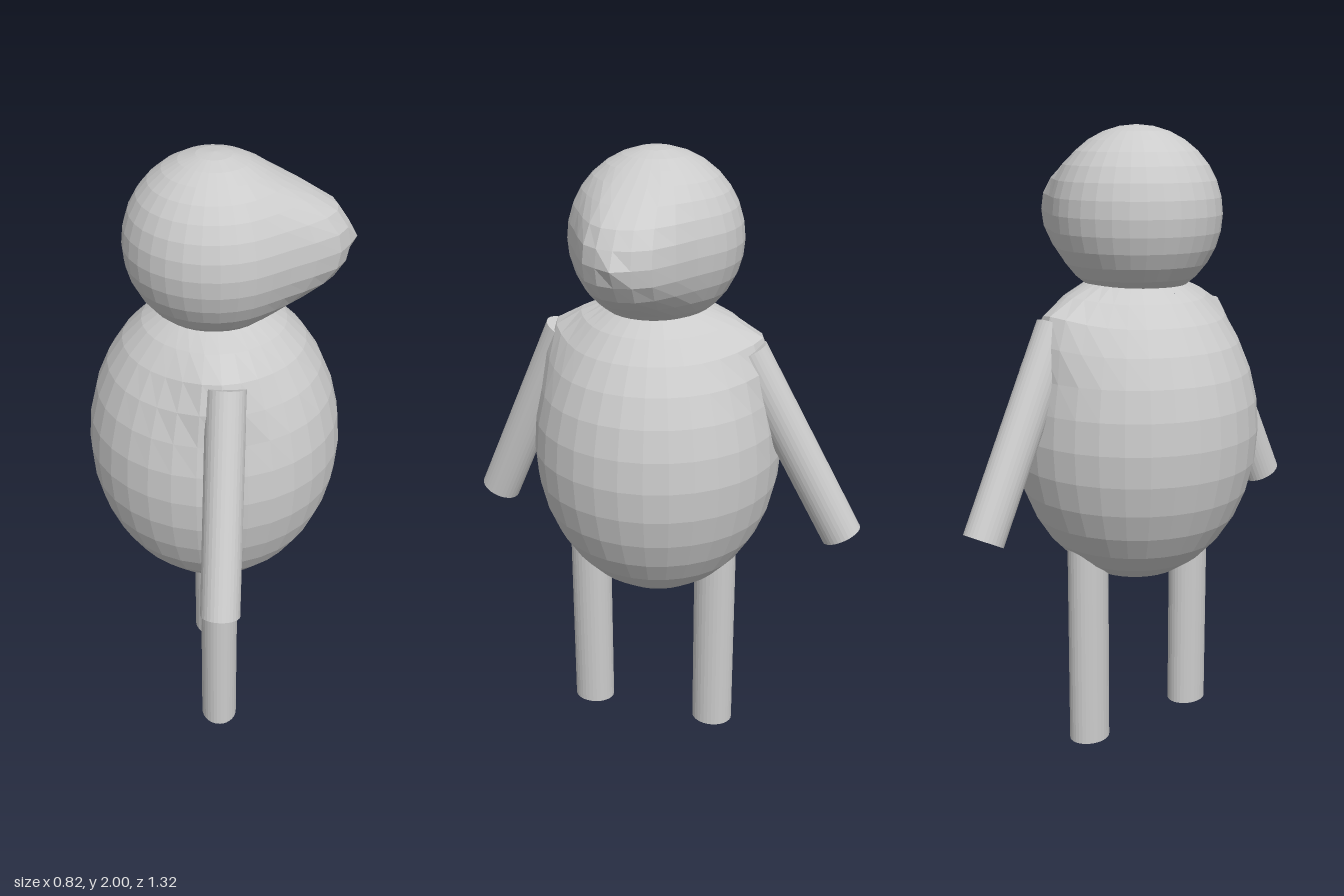
import * as THREE from 'three';

const material = new THREE.MeshStandardMaterial({ color: 0xcccccc, flatShading: true });

function addPart(group, name, geometry) {
  const mesh = new THREE.Mesh(geometry, material);
  mesh.name = name;
  group.add(mesh);
  return mesh;
}

// Moves every vertex of a geometry by a rule
function reshape(geometry, rule) {
  const pos = geometry.attributes.position;
  const v = new THREE.Vector3();
  for (let i = 0; i < pos.count; i++) {
    v.fromBufferAttribute(pos, i);
    rule(v);
    pos.setXYZ(i, v.x, v.y, v.z);
  }
  geometry.computeVertexNormals();
  return geometry;
}

// Oval limb between two points, with its own half-widths in x and z
function addLimb(group, name, from, to, rx, rz) {
  const a = new THREE.Vector3(...from);
  const b = new THREE.Vector3(...to);
  const dir = b.clone().sub(a);
  const geometry = new THREE.CylinderGeometry(1, 1, dir.length(), 32);
  geometry.scale(rx, 1, rz);
  const limb = addPart(group, name, geometry);
  limb.position.copy(a).add(b).multiplyScalar(0.5);
  limb.quaternion.setFromUnitVectors(new THREE.Vector3(0, 1, 0), dir.normalize());
}

// Forward push of the beak for each 11.25 degree step away from its tip
const beakPush = [0.15, 0.127, 0.108, 0.058, 0.015, 0, 0];

export function createModel() {
  const group = new THREE.Group();
  group.name = 'bird';

  // Egg-shaped body, drawn out a little at both shoulders
  const body = new THREE.SphereGeometry(1, 32, 16);
  body.scale(0.4, 0.51, 0.4);
  reshape(body, (v) => {
    const side = Math.sign(v.z);
    const d2 = (v.x / 0.12) ** 2 + ((v.y - 0.35) / 0.11) ** 2 + ((Math.abs(v.z) - 0.29) / 0.13) ** 2;
    const push = Math.exp(-d2);
    v.z += side * 0.055 * push;
    v.y += 0.03 * push;
  });
  addPart(group, 'body', body).position.set(-0.01, 1.05, 0.015);

  // Round head whose +x side is pulled out into a blunt beak
  const head = new THREE.SphereGeometry(0.27, 32, 16);
  reshape(head, (v) => {
    if (v.x <= 0.01) return;
    const lat = Math.abs(Math.asin(THREE.MathUtils.clamp(v.y / 0.27, -1, 1)));
    const lon = Math.abs(Math.atan2(v.z, v.x));
    const step = Math.cbrt(lat ** 3 + lon ** 3) / (Math.PI / 16);
    const i = Math.floor(step + 1e-4);
    if (i >= 5) return;
    v.x += THREE.MathUtils.lerp(beakPush[i], beakPush[i + 1], step - i);
  });
  addPart(group, 'head', head).position.set(-0.01, 1.73, 0.02);

  // Straight legs
  addLimb(group, 'leftLeg', [-0.01, 0, -0.185], [-0.01, 0.685, -0.185], 0.06, 0.07);
  addLimb(group, 'rightLeg', [-0.01, 0, 0.26], [-0.01, 0.685, 0.26], 0.06, 0.07);

  // Arms hanging outward from the shoulders
  addLimb(group, 'leftArm', [-0.03, 0.795, -0.6], [0.015, 1.4, -0.28], 0.06, 0.066);
  addLimb(group, 'rightArm', [-0.03, 0.787, 0.6], [0.005, 1.41, 0.32], 0.06, 0.066);

  return group;
}
